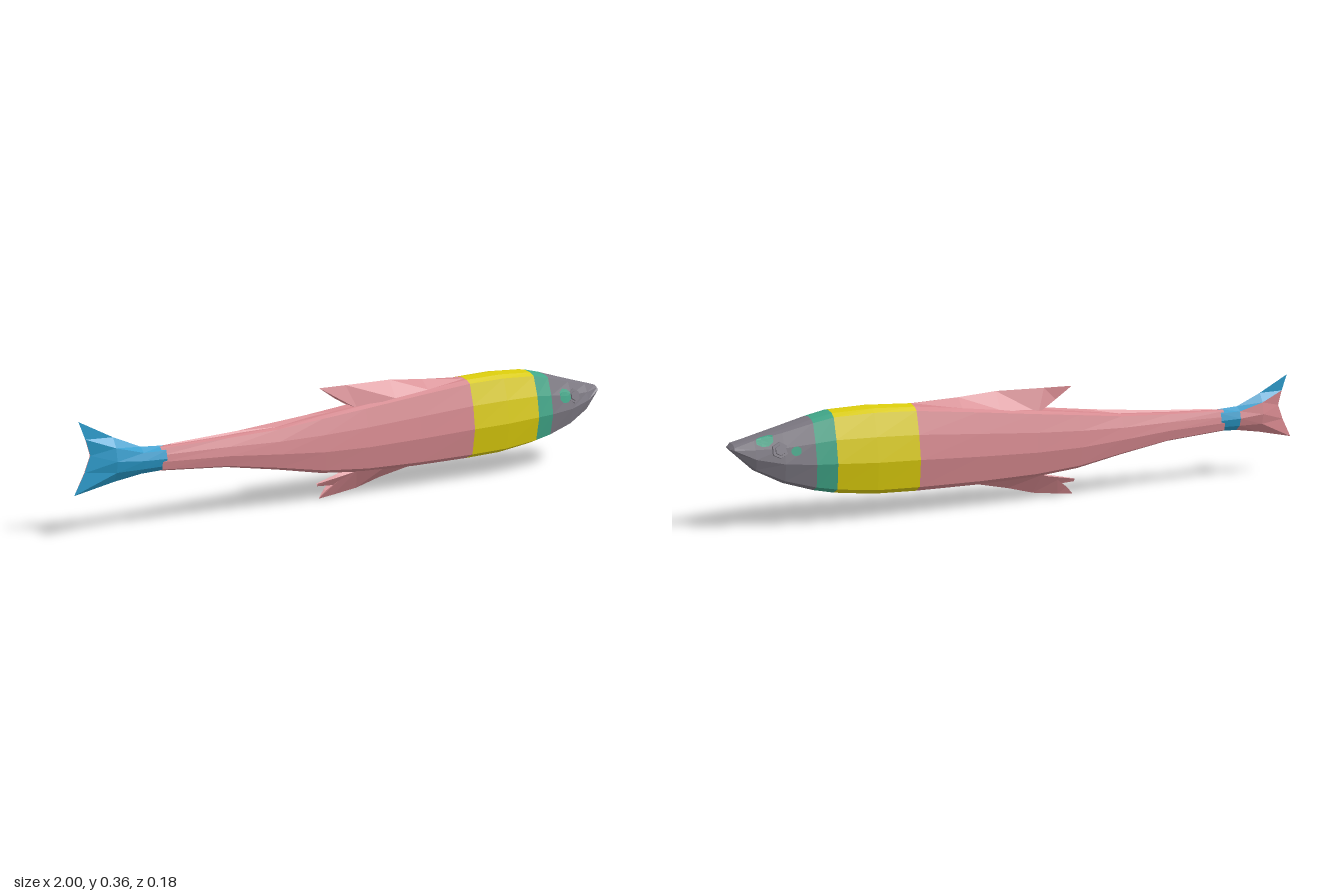
import * as THREE from 'three';

const mat = (name, color, side = THREE.FrontSide) => {
  const m = new THREE.MeshStandardMaterial({ color, flatShading: true, side });
  m.name = name;
  return m;
};

// Flat-shaded skin over rows of points; rows run tail to head
function sheet(rows, flip = false) {
  const pos = [];
  const tri = (a, b, c) => (flip ? [a, c, b] : [a, b, c]).forEach(p => pos.push(...p));
  for (let i = 0; i < rows.length - 1; i++) {
    for (let j = 0; j < rows[i].length - 1; j++) {
      const a = rows[i][j], b = rows[i + 1][j], c = rows[i + 1][j + 1], d = rows[i][j + 1];
      tri(a, d, b);
      tri(d, c, b);
    }
  }
  const g = new THREE.BufferGeometry();
  g.setAttribute('position', new THREE.Float32BufferAttribute(pos, 3));
  g.computeVertexNormals();
  return g;
}

// Body stations: x, top, bottom, half width
const STATIONS = [
  [-0.72, 0.246, 0.172, 0.024], [-0.5, 0.254, 0.155, 0.038], [-0.32, 0.264, 0.124, 0.049],
  [-0.16, 0.284, 0.092, 0.058], [0, 0.302, 0.076, 0.065], [0.2, 0.325, 0.07, 0.074],
  [0.41, 0.347, 0.07, 0.084], [0.55, 0.352, 0.074, 0.09], [0.68, 0.346, 0.09, 0.09],
  [0.745, 0.331, 0.104, 0.086], [0.84, 0.304, 0.135, 0.077], [0.925, 0.281, 0.18, 0.06],
  [0.985, 0.265, 0.238, 0.04], [0.996, 0.254, 0.25, 0.025], [0.996, 0.252, 0.252, 0],
];
// Half of the cross-section from back to belly: width and height fractions
const HALF = [[0, 1], [0.4, 0.98], [0.61, 0.94], [0.86, 0.68], [1, 0.4], [0.85, 0.08], [0.4, 0.01], [0, 0]];

// Point on the body skin at x and section position t (0 back, 7 belly)
function skin(x, t, side, lift = 0) {
  let i = 0;
  while (i < STATIONS.length - 2 && STATIONS[i + 1][0] < x) i++;
  const [s, e] = [STATIONS[i], STATIONS[i + 1]];
  const f = (x - s[0]) / (e[0] - s[0]);
  const [top, bottom, w] = [1, 2, 3].map(k => s[k] + (e[k] - s[k]) * f);
  const j = Math.min(Math.floor(t), 6), u = t - j;
  const wf = HALF[j][0] + (HALF[j + 1][0] - HALF[j][0]) * u;
  const hf = HALF[j][1] + (HALF[j + 1][1] - HALF[j][1]) * u;
  return [x, bottom + (top - bottom) * hf + (t < 3 ? lift : 0), side * (w * wf + lift)];
}

function ring([x, top, bottom, w]) {
  const pts = HALF.map(([a, h]) => [x, bottom + (top - bottom) * h, w * a]);
  const back = pts.slice(0, -1).reverse().map(([px, y, z]) => [px, y, -z]);
  return [...pts, ...back];
}

// Wedge-shaped fin; each row: tip x, tip y, base x, base y, base half width
const wedge = rows => sheet(rows.map(([tx, ty, bx, by, w]) => [[bx, by, w], [tx, ty, 0], [bx, by, -w]]));

export function createModel() {
  const fish = new THREE.Group();
  fish.name = 'fish';
  const pink = mat('pink', 0xd4878d);
  const pinkFin = pink;
  pink.side = THREE.DoubleSide;
  const yellow = mat('yellow', 0xdacb0c);
  const green = mat('green', 0x40a688, THREE.DoubleSide);
  const grey = mat('grey', 0x7c7882);
  const blue = mat('blue', 0x2a9bcb, THREE.DoubleSide);
  const add = (name, geo, material) => {
    const m = new THREE.Mesh(geo, material);
    m.name = name;
    fish.add(m);
    return m;
  };

  // Body in coloured bands
  [['trunk', 0, 6, pink], ['collar', 6, 8, yellow], ['gillBand', 8, 9, green], ['head', 9, 14, grey]]
    .forEach(([name, from, to, m]) => add(name, sheet(STATIONS.slice(from, to + 1).map(ring)), m));

  // Fins along the back and belly
  add('dorsalFin', wedge([
    [-0.15, 0.365, -0.09, 0.325, 0.004], [-0.05, 0.365, -0.02, 0.288, 0.024],
    [0.12, 0.366, 0.12, 0.31, 0.036], [0.25, 0.355, 0.25, 0.325, 0.036], [0.41, 0.346, 0.41, 0.343, 0.02],
  ]), pinkFin);
  add('rearRidge', wedge([
    [-0.68, 0.25, -0.68, 0.24, 0.008], [-0.45, 0.262, -0.45, 0.238, 0.022],
    [-0.2, 0.284, -0.2, 0.262, 0.032], [-0.04, 0.302, -0.04, 0.29, 0.025],
  ]), pinkFin);
  add('bellyFin', wedge([
    [-0.155, 0.003, -0.13, 0.03, 0.008], [-0.1, 0.009, -0.09, 0.06, 0.022],
    [-0.01, 0.02, -0.03, 0.085, 0.034], [0.08, 0.044, 0.08, 0.085, 0.036], [0.2, 0.069, 0.2, 0.074, 0.02],
  ]), pinkFin);
  add('bellyFinLobe', wedge([
    [-0.16, 0.045, -0.16, 0.054, 0.004], [-0.08, 0.04, -0.08, 0.07, 0.016], [0, 0.05, 0, 0.085, 0.022],
  ]), pinkFin);

  // Forked tail: each row holds x and y of top, upper, middle, lower, bottom, then half width
  const tail = [
    [[-0.978, 0.35], [-0.958, 0.295], [-0.945, 0.245], [-0.965, 0.195], [-1, 0.13], 0.002],
    [[-0.87, 0.292], [-0.87, 0.262], [-0.87, 0.222], [-0.87, 0.187], [-0.87, 0.156], 0.028],
    [[-0.78, 0.252], [-0.78, 0.237], [-0.78, 0.213], [-0.78, 0.187], [-0.78, 0.169], 0.028],
    [[-0.705, 0.247], [-0.705, 0.235], [-0.705, 0.21], [-0.705, 0.187], [-0.705, 0.171], 0.026],
  ];
  const widths = [0, 0.75, 1, 0.75, 0];
  const tailRows = side => tail.map(r => widths.map((w, k) => [...r[k], side * w * r[5]]));
  const far = tailRows(-1);
  add('tailLeftFace', sheet(tailRows(1)), blue);
  add('tailRoot', sheet(far.slice(2), true), blue);
  add('tailUpperLobe', sheet(far.slice(0, 3).map(r => r.slice(0, 2)), true), blue);
  add('tailLowerLobe', sheet(far.slice(0, 3).map(r => r.slice(1)), true), pink);

  // Green flecks on the head: side, x range, section range
  [[1, 0.785, 0.835, 2.6, 3.5], [-1, 0.87, 0.92, 1.5, 2.8], [-1, 0.79, 0.82, 3, 3.5]]
    .forEach(([side, x0, x1, t0, t1]) => {
      const n = 4;
      const rows = [0, 0.3, 0.7, 1].map((f, i) => {
        const inset = i === 0 || i === 3 ? 0.25 : 0;
        return Array.from({ length: n + 1 }, (_, k) => {
          const v = inset + (1 - 2 * inset) * k / n;
          return skin(x0 + (x1 - x0) * f, t0 + (t1 - t0) * v, side, 0.002);
        });
      });
      add('headFleck', sheet(rows, side < 0), green);
    });

  // Six-sided eyes with a raised inner disc
  for (const side of [1, -1]) {
    const eye = new THREE.Group();
    eye.name = side > 0 ? 'eyeFront' : 'eyeBack';
    [[0.028, 0.012, 0], [0.018, 0.006, 0.007]].forEach(([r, h, y]) => {
      const disc = new THREE.Mesh(new THREE.CylinderGeometry(r * 0.9, r, h, 6), grey);
      disc.name = 'eyeDisc';
      disc.position.y = y;
      eye.add(disc);
    });
    eye.position.set(0.853, 0.244, side * 0.062);
    eye.rotation.set(side * (Math.PI / 2 - 0.25), 0, 0);
    fish.add(eye);
  }
  return fish;
}
